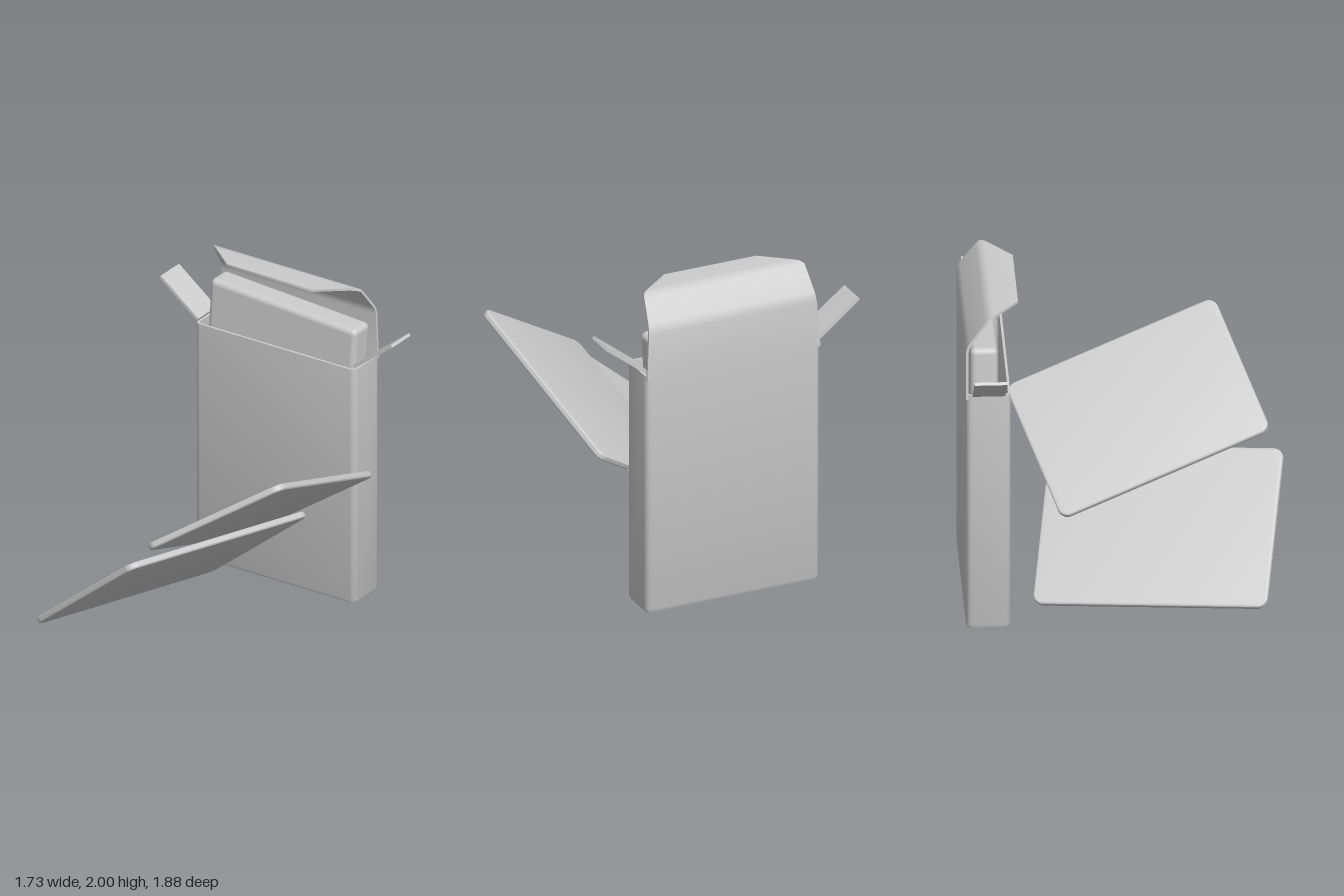
import * as THREE from 'three';
import { toCreasedNormals } from 'three/addons/utils/BufferGeometryUtils.js';
import { RoundedBoxGeometry } from 'three/addons/geometries/RoundedBoxGeometry.js';

const grey = new THREE.MeshStandardMaterial({ color: 0xcccccc, side: THREE.DoubleSide });

function part(name, geometry, parent) {
  const mesh = new THREE.Mesh(geometry, grey);
  mesh.name = name;
  parent.add(mesh);
  return mesh;
}

// Skin closed loops of points and cap both ends
function loft(rings, crease = 0.7) {
  const n = rings[0].length, pos = [], idx = [];
  rings.forEach(r => r.forEach(p => pos.push(p.x, p.y, p.z)));
  for (let i = 0; i < rings.length - 1; i++) {
    for (let j = 0; j < n; j++) {
      const a = i * n + j, b = i * n + (j + 1) % n;
      idx.push(a, a + n, b, b, a + n, b + n);
    }
  }
  const last = (rings.length - 1) * n;
  for (let j = 1; j < n - 1; j++) {
    idx.push(0, j, j + 1);
    idx.push(last, last + j + 1, last + j);
  }
  const g = new THREE.BufferGeometry();
  g.setAttribute('position', new THREE.Float32BufferAttribute(pos, 3));
  g.setIndex(idx);
  return toCreasedNormals(g, crease);
}

// Horizontal rounded rectangle loop
function roundedLoop(y, w, d, r) {
  const loop = [];
  [[1, 1], [-1, 1], [-1, -1], [1, -1]].forEach(([sx, sz], k) => {
    for (let i = 0; i <= 5; i++) {
      const t = (k + i / 5) * Math.PI / 2;
      loop.push(new THREE.Vector3(
        sx * (w / 2 - r) + r * Math.cos(t), y, sz * (d / 2 - r) + r * Math.sin(t)));
    }
  });
  return loop;
}

// Thin rounded card lying in XY, thickness along Z
function cardGeometry(w, h, t, r) {
  const bevel = 0.012, x = w / 2 - bevel, y = h / 2 - bevel, s = new THREE.Shape();
  s.absarc(x - r, y - r, r, 0, Math.PI / 2);
  s.absarc(-x + r, y - r, r, Math.PI / 2, Math.PI);
  s.absarc(-x + r, -y + r, r, Math.PI, Math.PI * 1.5);
  s.absarc(x - r, -y + r, r, Math.PI * 1.5, Math.PI * 2);
  s.closePath();
  const g = new THREE.ExtrudeGeometry(s, {
    depth: t - 2 * bevel, bevelThickness: bevel, bevelSize: bevel, bevelSegments: 3, curveSegments: 8,
  });
  g.center();
  return toCreasedNormals(g, 0.6);
}

export function createModel() {
  const model = new THREE.Group();
  model.name = 'openCardBox';

  // Hollow carton: outside up, over the rim, then down inside to the floor
  const carton = [[0, 0.03], [0.009, 0.009], [0.03, 0], [1.525, 0], [1.525, 0.015], [0.02, 0.015]]
    .map(([y, inset]) => roundedLoop(y, 1.12 - 2 * inset, 0.26 - 2 * inset, 0.035 - inset * 0.6));
  part('carton', loft(carton), model).position.set(-0.04, 0, -0.81);

  // Lid: a bent strip rising from the back wall; rows are y, z, left edge, right edge
  const rows = [
    [1.5, -0.94, -0.6, 0.515], [1.79, -0.94, -0.577, 0.503], [1.825, -0.932, -0.573, 0.5],
    [1.85, -0.918, -0.571, 0.497], [1.965, -0.832, -0.558, 0.48], [1.988, -0.812, -0.556, 0.476],
    [1.998, -0.785, -0.535, 0.455], [2.0, -0.765, -0.51, 0.43], [2.0, -0.625, -0.335, 0.255],
  ];
  const lid = rows.map(([y, z, x0, x1], i) => {
    const p = rows[Math.max(i - 1, 0)], q = rows[Math.min(i + 1, rows.length - 1)];
    const dy = q[0] - p[0], dz = q[1] - p[1], k = 0.015 / Math.hypot(dy, dz);
    const iy = y - dz * k, iz = z + dy * k;
    return [[x0, y, z], [x1, y, z], [x1, iy, iz], [x0, iy, iz]].map(c => new THREE.Vector3(...c));
  });
  part('lid', loft(lid), model);

  // Side flaps splayed outwards from the rim
  for (const [name, x, side] of [['leftFlap', 0.625, 1], ['rightFlap', -0.735, -1]]) {
    const flap = part(name, new THREE.BoxGeometry(0.335, 0.018, 0.19), model);
    flap.position.set(x, 1.633, -0.808);
    flap.rotation.z = side * 0.665;
  }

  // Deck standing askew inside the carton
  const deck = part('deck', new RoundedBoxGeometry(1.025, 0.7, 0.16, 4, 0.035), model);
  deck.position.set(-0.055, 1.417, -0.832);
  deck.rotation.z = -0.06;

  // Two loose cards, each oriented by its width and length directions
  const cards = [
    ['lowerCard', [-0.167, 0.422, 0.2], [0.78, 0.64, 0.14], [-0.33, 0.11, 1.33], 1.015, 1.39],
    ['upperCard', [0.393, 0.91, 0.11], [0.76, 0.5, -0.28], [0.17, 0.45, 1.19], 0.94, 1.32],
  ];
  for (const [name, centre, across, along, w, h] of cards) {
    const card = part(name, cardGeometry(w, h, 0.04, 0.05), model);
    const v = new THREE.Vector3(...along).normalize();
    const n = new THREE.Vector3(...across).cross(v).normalize();
    const u = new THREE.Vector3().crossVectors(v, n);
    card.quaternion.setFromRotationMatrix(new THREE.Matrix4().makeBasis(u, v, n));
    card.position.set(...centre);
  }
  return model;
}
